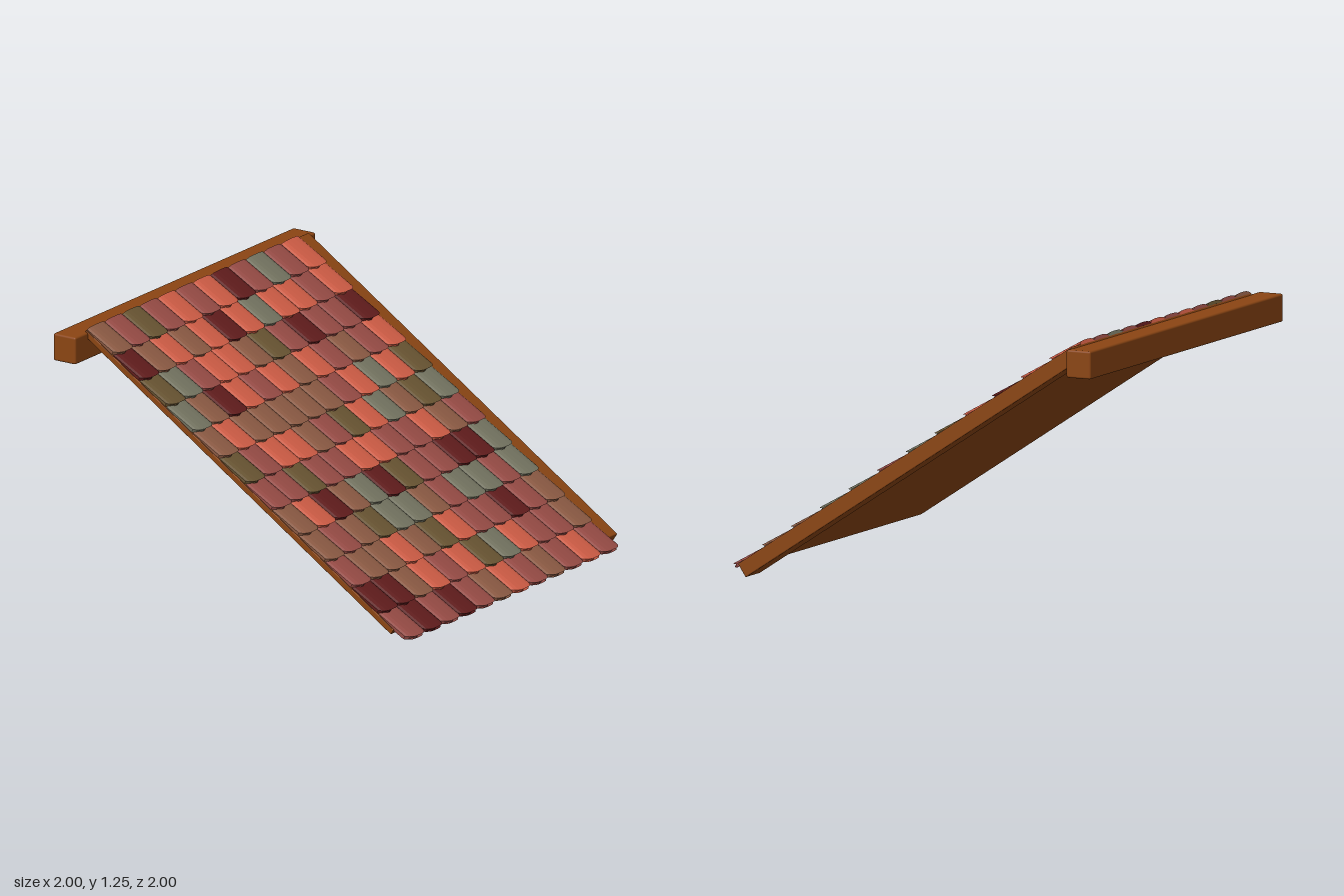
import * as THREE from 'three';
import { RoundedBoxGeometry } from 'three/addons/geometries/RoundedBoxGeometry.js';

const SLOPE = 0.581;          // roof pitch in radians
const ROWS = 12, COURSES = 12;
const TILE_W = 1.76 / ROWS, TILE_L = 0.205, TILE_T = 0.018;
const PITCH = 0.1837;         // distance between courses along the slope

const COLORS = { O: 0xcd5c45, P: 0x964b45, B: 0x8b5a43, G: 0x737360, V: 0x685432, D: 0x601c1c };

// One string per row of tiles from back to front, ridge to eave
const PATTERN = [
  'OODOVGPGGBBP', 'PPPPOVBDPPPO', 'GOPBGBODGDPP', 'PODPOGPPGPOB',
  'DGPOPOPPPPGP', 'OOVBBVOVBOVO', 'PDBOBPODGVOB', 'OOOPBBPGGBPP',
  'PBOOBOPBVOOD', 'VOPDBOVDBBBP', 'PBGBOPPOPBDD', 'BDVGBVPBBPDP',
];

// Arched clay tile: a curved section run down the slope, lower corners rounded back
function tileGeometry() {
  const us = [-1, -0.85, -0.6, -0.25, 0.25, 0.6, 0.85, 1];
  const curve = (u) => Math.pow(Math.abs(u), 4);
  const pt = (u, y) => new THREE.Vector2(u * TILE_W / 2, y - 0.013 * curve(u));
  const section = new THREE.Shape([
    ...us.map((u) => pt(u, 0)),
    ...us.slice().reverse().map((u) => pt(u, TILE_T)),
  ]);
  const geo = new THREE.ExtrudeGeometry(section, { depth: TILE_L, bevelEnabled: false, steps: 1 });
  const p = geo.attributes.position;
  for (let i = 0; i < p.count; i++) {
    if (p.getZ(i) > TILE_L / 2) p.setZ(i, TILE_L - 0.032 * curve(p.getX(i) / (TILE_W / 2)));
  }
  geo.rotateY(Math.PI / 2);
  geo.computeVertexNormals();
  return geo;
}

export function createModel() {
  const model = new THREE.Group();
  model.name = 'roofSection';
  const wood = new THREE.MeshStandardMaterial({ color: 0x8b4513 });

  // Timber given by its lower and upper corners
  const timber = (name, parent, [x0, y0, z0], [x1, y1, z1], radius) => {
    const geo = new RoundedBoxGeometry(x1 - x0, y1 - y0, z1 - z0, 2, radius);
    const mesh = new THREE.Mesh(geo, wood);
    mesh.name = name;
    mesh.position.set((x0 + x1) / 2, (y0 + y1) / 2, (z0 + z1) / 2);
    parent.add(mesh);
  };

  timber('ridgeBeam', model, [-0.99, 1.095, -1], [-0.86, 1.23, 1], 0.01);

  // Sloped frame: x runs down the roof, y is the outward normal
  const slope = new THREE.Group();
  slope.name = 'slopedRoof';
  slope.position.set(-0.87, 1.24, 0);
  slope.rotation.z = -SLOPE;
  model.add(slope);

  timber('rafter', slope, [0, -0.075, -0.955], [2.14, 0, -0.81], 0.006);
  timber('roofBoard', slope, [0, -0.03, -0.875], [2.13, -0.001, 0.897], 0.003);

  // Overlapping tiles, each tipped up a little at its lower end
  const tiles = new THREE.Group();
  tiles.name = 'tiles';
  slope.add(tiles);
  const geo = tileGeometry();
  const mats = {};
  for (const key in COLORS) {
    mats[key] = new THREE.MeshStandardMaterial({ color: COLORS[key], flatShading: true });
  }
  for (let r = 0; r < ROWS; r++) {
    for (let c = 0; c < COURSES; c++) {
      const tile = new THREE.Mesh(geo, mats[PATTERN[r][c]]);
      tile.name = 'tile';
      tile.position.set(c * PITCH, -0.003, -0.87 + (r + 0.5) * TILE_W);
      tile.rotation.z = 0.075;
      tiles.add(tile);
    }
  }
  return model;
}
